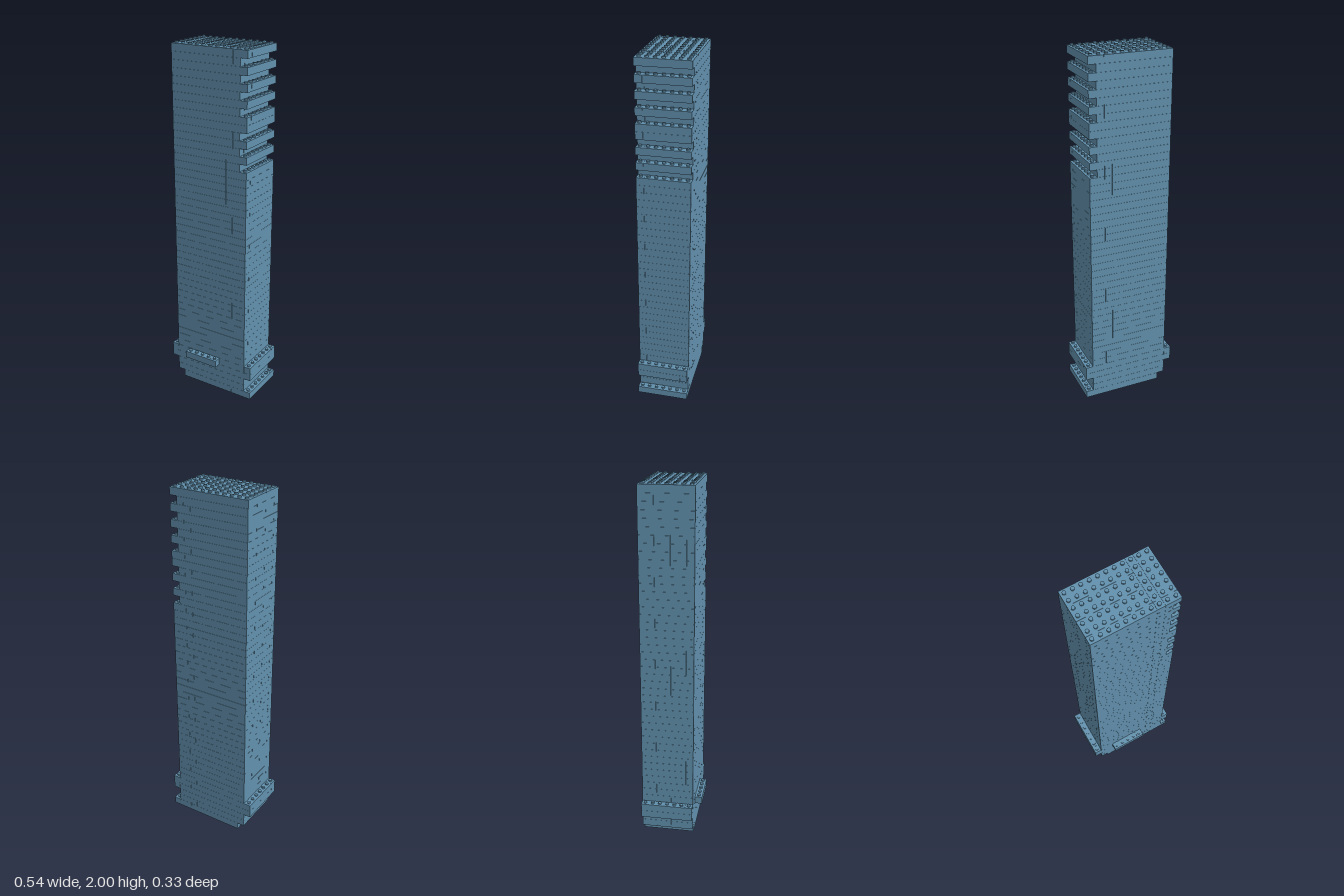
import * as THREE from 'three';
import { mergeGeometries } from 'three/addons/utils/BufferGeometryUtils.js';

const P = 0.0416;      // stud pitch
const H = 0.0415;      // brick height
const LAYERS = 48;
const GAP = 0.0006;    // seam between neighbouring bricks
const STUD_R = 0.0096, STUD_H = 2 - LAYERS * H;

// grid column / row / layer to model units (13 columns, 8 rows)
const gx = c => (c - 6.5) * P;
const gz = r => (r - 4) * P;

// one brick covering columns c0..c1, rows r0..r1, layers l0..l1
function brick(c0, c1, r0, r1, l0, l1 = l0 + 1) {
  const g = new THREE.BoxGeometry((c1 - c0) * P - GAP, (l1 - l0) * H - GAP, (r1 - r0) * P - GAP);
  return g.translate((gx(c0) + gx(c1)) / 2, (l0 + l1) / 2 * H, (gz(r0) + gz(r1)) / 2);
}

// studs on top of the given layer
function studs(c0, c1, r0, r1, layer) {
  const list = [];
  for (let c = c0; c < c1; c++) {
    for (let r = r0; r < r1; r++) {
      const g = new THREE.CylinderGeometry(STUD_R, STUD_R, STUD_H + GAP, 16);
      list.push(g.translate(gx(c + 0.5), (layer + 1) * H + (STUD_H - GAP) / 2, gz(r + 0.5)));
    }
  }
  return list;
}

export function createModel() {
  const model = new THREE.Group();
  const blue = new THREE.MeshStandardMaterial({ color: 0x6291ae });
  blue.name = 'sand blue';
  const add = (name, geos) => {
    const mesh = new THREE.Mesh(mergeGeometries(geos), blue);
    mesh.name = name;
    model.add(mesh);
  };

  // tower: every layer is a bond of long bricks, with slots cut in the left edge
  const slots = [33, 35, 37, 40, 42, 44, 46];
  const tower = [];
  for (let l = 0; l < LAYERS; l++) {
    const first = l === 0 ? 2 : 1;
    const last = slots.includes(l) ? 11 : 12;
    for (const [r0, r1] of [[0, 2], [2, 4], [4, 6], [6, 7]]) tower.push(brick(first, 9, r0, r1, l));
    for (const [r0, r1] of [[0, 6], [6, 7]]) {
      tower.push(brick(9, 10, r0, r1, l));
      tower.push(brick(10, last, r0, r1, l));
    }
  }
  add('tower', tower);

  // studs on the roof and on the floor of each slot
  add('roofStuds', studs(1, 12, 0, 7, LAYERS - 1));
  add('slotStuds', slots.flatMap(l => studs(11, 12, 0, 7, l - 1)));

  // foot ledge on the left side
  add('footLedge', [brick(12, 13, 0, 1, 0), brick(12, 13, 1, 7, 0), ...studs(12, 13, 0, 7, 0)]);

  // two-layer ledges on both sides
  const leftLedge = [], rightLedge = [];
  for (const l of [3, 4]) {
    leftLedge.push(brick(12, 13, 0, 1, l), brick(12, 13, 1, 7, l));
    rightLedge.push(brick(0, 1, 0, 6, l), brick(0, 1, 6, 7, l));
  }
  add('leftLedge', [...leftLedge, ...studs(12, 13, 0, 7, 4)]);
  add('rightLedge', [...rightLedge, ...studs(0, 1, 0, 7, 4)]);

  // canopy at the front
  add('frontCanopy', [brick(3, 7, 7, 8, 4), brick(7, 8, 7, 8, 4), ...studs(3, 8, 7, 8, 4)]);

  return model;
}
